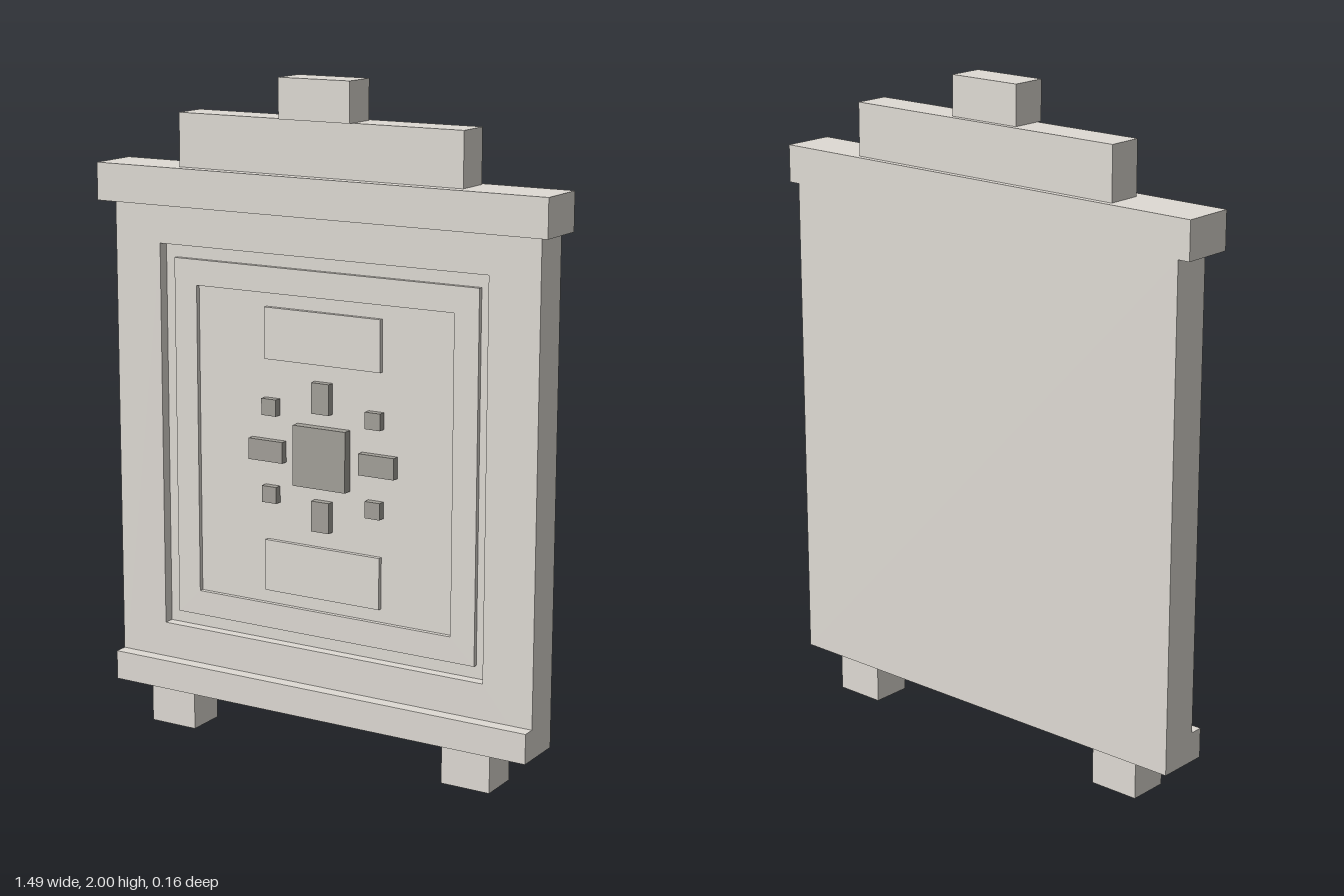
import * as THREE from 'three';

export function createModel() {
  const model = new THREE.Group();
  const stone = new THREE.MeshStandardMaterial({ color: 0xdfdbd4 });
  stone.name = 'pale warm stone';
  const dark = new THREE.MeshStandardMaterial({ color: 0xa3a099 });
  dark.name = 'mid grey stone';

  // Box given by its limits on each axis
  function box(name, mat, x0, x1, y0, y1, z0, z1) {
    const mesh = new THREE.Mesh(new THREE.BoxGeometry(x1 - x0, y1 - y0, z1 - z0), mat);
    mesh.position.set((x0 + x1) / 2, (y0 + y1) / 2, (z0 + z1) / 2);
    mesh.name = name;
    model.add(mesh);
  }

  // Rectangular ring: half width and y limits of the outside and the opening
  function ring(name, [w, y0, y1], [hw, h0, h1], z0, z1) {
    const shape = new THREE.Shape([[-w, y0], [w, y0], [w, y1], [-w, y1]].map(p => new THREE.Vector2(...p)));
    shape.holes.push(new THREE.Path([[-hw, h0], [-hw, h1], [hw, h1], [hw, h0]].map(p => new THREE.Vector2(...p))));
    const mesh = new THREE.Mesh(new THREE.ExtrudeGeometry(shape, { depth: z1 - z0, bevelEnabled: false }), stone);
    mesh.position.z = z0;
    mesh.name = name;
    model.add(mesh);
  }

  const floor = 0.007;

  // Slab with a sunken field and a stepped border
  box('slab', stone, -0.707, 0.707, 0.118, 1.61, -0.08, floor);
  ring('outerFrame', [0.707, 0.118, 1.61], [0.548, 0.316, 1.491], floor, 0.04);
  ring('innerFrame', [0.51, 0.355, 1.449], [0.432, 0.431, 1.372], floor, 0.021);

  // Base ledge and feet
  box('baseLedge', stone, -0.707, 0.707, 0.118, 0.208, 0.04, 0.08);
  for (const s of [-1, 1]) {
    box(s > 0 ? 'leftFoot' : 'rightFoot', stone, s * 0.508 - 0.078, s * 0.508 + 0.078, 0, 0.118, -0.062, 0.062);
  }

  // Stepped crown
  box('cornice', stone, -0.744, 0.744, 1.61, 1.723, -0.08, 0.08);
  box('crownStep', stone, -0.469, 0.469, 1.723, 1.882, -0.062, 0.046);
  box('crownBlock', stone, -0.117, 0.117, 1.882, 2, -0.046, 0.062);

  // Raised plaques above and below the emblem
  box('upperPlaque', stone, -0.195, 0.195, 1.176, 1.33, floor, 0.021);
  box('lowerPlaque', stone, -0.195, 0.195, 0.472, 0.628, floor, 0.021);

  // Block emblem: centre, four rays and four corner studs
  const cy = 0.902;
  function block(name, x, y, w, h, z) {
    box(name, dark, x - w / 2, x + w / 2, cy + y - h / 2, cy + y + h / 2, floor, z);
  }
  block('emblemCentre', 0, 0, 0.178, 0.182, 0.037);
  for (const s of [-1, 1]) {
    block('emblemSideRay', s * 0.188, 0, 0.117, 0.064, 0.03);
    block('emblemUprightRay', 0, s * 0.177, 0.06, 0.092, 0.03);
    for (const t of [-1, 1]) block('emblemStud', s * 0.176, t * 0.132, 0.05, 0.05, 0.03);
  }
  return model;
}
